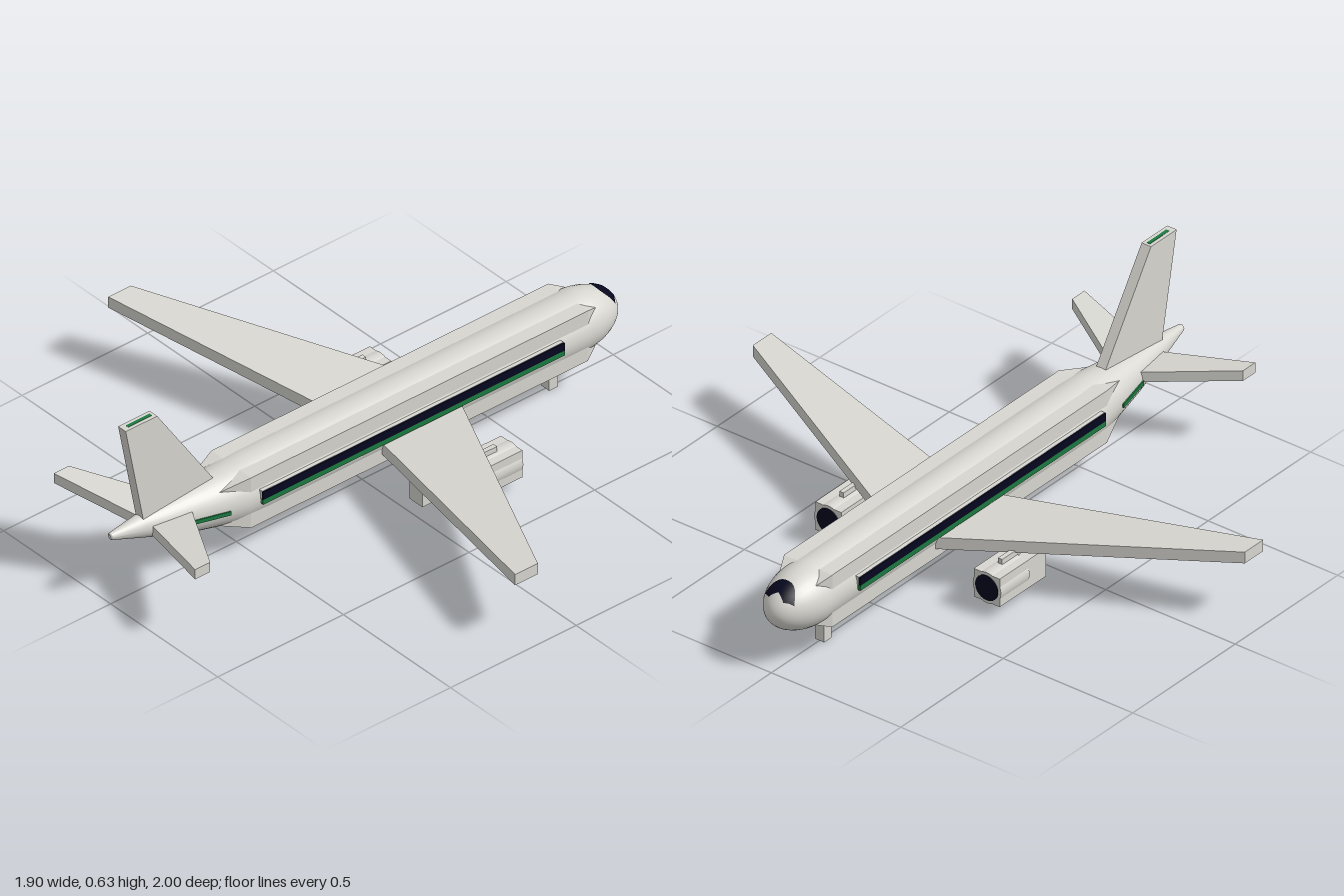
import * as THREE from 'three';

const paint = (name, color) => {
  const m = new THREE.MeshStandardMaterial({ color });
  m.name = name;
  return m;
};

// Skin joining rings of [x, y, z] points, with closed ends
function loft(rings, flat = true) {
  const n = rings[0].length, last = (rings.length - 1) * n, index = [];
  for (let i = 0; i < rings.length - 1; i++) {
    for (let j = 0; j < n; j++) {
      const a = i * n + j, b = i * n + (j + 1) % n;
      index.push(a, b, b + n, a, b + n, a + n);
    }
  }
  for (let j = 1; j < n - 1; j++) index.push(0, j + 1, j, last, last + j, last + j + 1);
  let g = new THREE.BufferGeometry();
  g.setAttribute('position', new THREE.Float32BufferAttribute(rings.flat(2), 3));
  g.setIndex(index);
  if (flat) g = g.toNonIndexed();
  g.computeVertexNormals();
  return g;
}

// Ellipse and square cross-sections facing along z
const oval = (z, cy, rx, ry, n = 32) => Array.from({ length: n }, (_, i) => {
  const a = i / n * Math.PI * 2;
  return [rx * Math.cos(a), cy + ry * Math.sin(a), z];
});
const square = (z, cy, h) => [[-h, cy - h, z], [h, cy - h, z], [h, cy + h, z], [-h, cy + h, z]];

// Tapered surface running outward along x; each end is [x, yLow, yHigh, zFront, zBack]
function panel(side, root, tip) {
  const rings = [root, tip].map(([x, y0, y1, z0, z1]) =>
    [[y0, z0], [y1, z0], [y1, z1], [y0, z1]].map(([y, z]) => [side * x, y, z]));
  return loft(side > 0 ? rings : rings.reverse());
}

export function createModel() {
  const model = new THREE.Group();
  model.name = 'airliner';
  const grey = paint('light grey', 0xd7d6d0);
  const navy = paint('dark navy', 0x07071f);
  navy.side = THREE.DoubleSide;
  const green = paint('green', 0x1b7a40);
  const add = (name, geometry, material, x = 0, y = 0, z = 0) => {
    const mesh = new THREE.Mesh(geometry, material);
    mesh.name = name;
    mesh.position.set(x, y, z);
    model.add(mesh);
  };
  const box = (name, mat, [x0, x1], [y0, y1], [z0, z1]) => add(name,
    new THREE.BoxGeometry(Math.abs(x1 - x0), y1 - y0, z1 - z0), mat,
    (x0 + x1) / 2, (y0 + y1) / 2, (z0 + z1) / 2);
  const drum = (name, mat, r, x, y, [z0, z1]) => add(name,
    new THREE.CylinderGeometry(r, r, z1 - z0, 24).rotateX(Math.PI / 2), mat, x, y, (z0 + z1) / 2);

  // Round fuselage: domed nose, straight barrel, upswept tail cone
  const R = 0.1025, CY = 0.204, NZ = -0.82, NL = 0.18;
  const rings = [];
  for (let i = 0; i <= 16; i++) {
    const a = (i / 16) * Math.PI / 2, r = Math.max(R * Math.sin(a), 0.0005);
    rings.push(oval(NZ - NL * Math.cos(a), CY, r, r));
  }
  rings.push(
    oval(0.46, CY, R, R), oval(0.52, CY, 0.101, 0.101), oval(0.6, 0.209, 0.091, 0.091),
    oval(0.73, 0.217, 0.066, 0.072), oval(0.88, 0.236, 0.036, 0.04), oval(1, 0.251, 0.012, 0.012));
  add('fuselage', loft(rings, false), grey);

  // Square shell whose corners stand out along the barrel
  add('fuselageShell', loft([
    square(-0.92, CY, 0.047), square(-0.82, CY, 0.093),
    square(0.52, CY, 0.093), square(0.66, 0.212, 0.05)]), grey);

  // Windscreen curved over the nose, notched at the middle
  const screen = new THREE.PlaneGeometry(2, 1, 24, 8);
  const p = screen.attributes.position;
  for (let i = 0; i < p.count; i++) {
    const u = p.getX(i), v = p.getY(i) + 0.5, a = Math.abs(u);
    const front = a < 0.5 ? -0.962 - 0.028 * a : -0.976 + 0.036 * (a - 0.5);
    const back = -0.92 - 0.038 * a ** 3;
    const x = 0.057 * u, z = THREE.MathUtils.lerp(back, front, v);
    const h = 1 - (x / R) ** 2 - ((z - NZ) / NL) ** 2;
    p.setXYZ(i, x, CY + R * Math.sqrt(Math.max(h, 0)) + 0.003, z - 0.002);
  }
  screen.computeVertexNormals();
  add('windscreen', screen, navy);

  // Tail fin with a narrow green cap
  const fin = [[0.27, 0.59, 0.885], [0.63, 0.83, 0.955]].map(([y, z0, z1]) =>
    [[-0.018, y, z0], [-0.018, y, z1], [0.018, y, z1], [0.018, y, z0]]);
  add('tailFin', loft(fin), grey);
  box('finCap', green, [-0.006, 0.006], [0.629, 0.631], [0.84, 0.935]);

  // Nose landing gear
  box('noseGear', grey, [-0.018, 0.018], [0, 0.13], [-0.765, -0.73]);

  for (const s of [1, -1]) {
    const tag = s > 0 ? 'left' : 'right';

    // Wing and tailplane
    add(tag + 'Wing', panel(s, [0.06, 0.14, 0.181, -0.333, -0.009], [0.95, 0.215, 0.255, 0.11, 0.2]), grey);
    add(tag + 'Tailplane', panel(s, [0.015, 0.208, 0.243, 0.7, 0.858], [0.33, 0.245, 0.281, 0.885, 0.945]), grey);

    // Raised rail carrying the window band and the green stripe
    box(tag + 'Rail', grey, [s * 0.085, s * 0.109], [0.196, 0.241], [-0.709, 0.489]);
    box(tag + 'Windows', navy, [s * 0.108, s * 0.114], [0.212, 0.24], [-0.71, 0.49]);
    box(tag + 'Stripe', green, [s * 0.105, s * 0.114], [0.194, 0.212], [-0.71, 0.49]);

    // Stripe carried onto the tail cone
    const along = [[0.6, 0.0915, 0.203], [0.73, 0.066, 0.213]].map(([z, x, y]) => [
      [s * x - 0.004, y - 0.007, z], [s * x + 0.004, y - 0.007, z],
      [s * x + 0.004, y + 0.007, z], [s * x - 0.004, y + 0.007, z]]);
    add(tag + 'TailStripe', loft(along), green);

    // Engine: squared casing, round core, dark intake and exhaust
    const ex = s * 0.306, ey = 0.096;
    box(tag + 'EngineCasing', grey, [ex - 0.05, ex + 0.05], [ey - 0.05, ey + 0.05], [-0.335, -0.11]);
    drum(tag + 'EngineCore', grey, 0.0545, ex, ey, [-0.335, -0.195]);
    drum(tag + 'Intake', navy, 0.044, ex, ey, [-0.337, -0.334]);
    drum(tag + 'Exhaust', navy, 0.031, ex, ey, [-0.111, -0.108]);
    box(tag + 'Pylon', grey, [ex - 0.008, ex + 0.008], [0.13, 0.168], [-0.27, -0.12]);

    // Main landing gear
    box(tag + 'MainGear', grey, [s * 0.17, s * 0.23], [0, 0.155], [-0.105, -0.045]);
  }
  return model;
}
